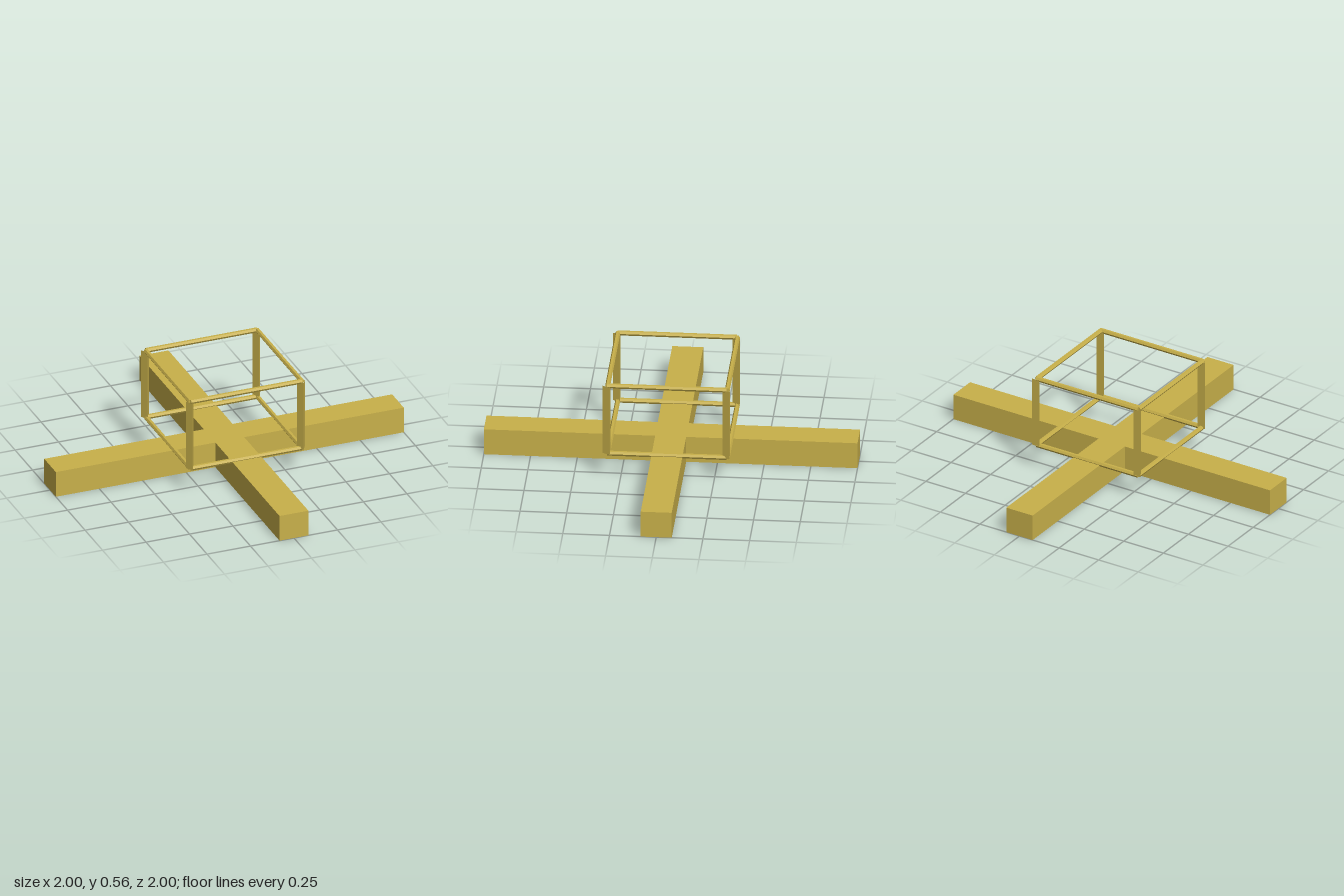
import * as THREE from 'three';

export function createModel() {
  const model = new THREE.Group();
  const gold = new THREE.MeshStandardMaterial({ color: 0xc8b04a });
  gold.name = 'gold';

  const add = (name, geometry, x, y, z, parent = model) => {
    const mesh = new THREE.Mesh(geometry, gold);
    mesh.name = name;
    mesh.position.set(x, y, z);
    parent.add(mesh);
    return mesh;
  };

  // Crossed base: one plus-shaped outline, extruded upward
  const w = 0.083, height = 0.148;
  const plus = new THREE.Shape([
    [-1, -w], [-w, -w], [-w, -1], [w, -1], [w, -w], [1, -w],
    [1, w], [w, w], [w, 1], [-w, 1], [-w, w], [-1, w],
  ].map(([x, y]) => new THREE.Vector2(x, y)));
  const base = new THREE.ExtrudeGeometry(plus, { depth: height, bevelEnabled: false });
  base.rotateX(-Math.PI / 2);
  add('crossBase', base, 0, 0, 0);

  // Open box frame resting on the base
  const frame = new THREE.Group();
  frame.name = 'boxFrame';
  model.add(frame);
  const half = 0.32, low = 0.152, high = 0.552;

  // Three-sided corner posts with a ridge towards the front
  const flat = (geometry) => {
    const faceted = geometry.toNonIndexed();
    faceted.computeVertexNormals();
    return faceted;
  };
  const post = flat(new THREE.CylinderGeometry(0.026, 0.026, high - low, 3, 1, true));
  for (const x of [-half, half])
    for (const z of [-half, half])
      add('cornerPost', post, x, (low + high) / 2, z - 0.002, frame);

  // Thin rails around the top and bottom
  const railX = flat(new THREE.CylinderGeometry(0.0135, 0.0135, half * 2, 6).rotateZ(Math.PI / 2));
  const railZ = railX.clone().rotateY(Math.PI / 2);
  for (const y of [low, high])
    for (const side of [-half, half]) {
      add('crossRail', railX, 0, y, side - 0.003, frame);
      add('sideRail', railZ, side, y, 0, frame);
    }

  return model;
}
